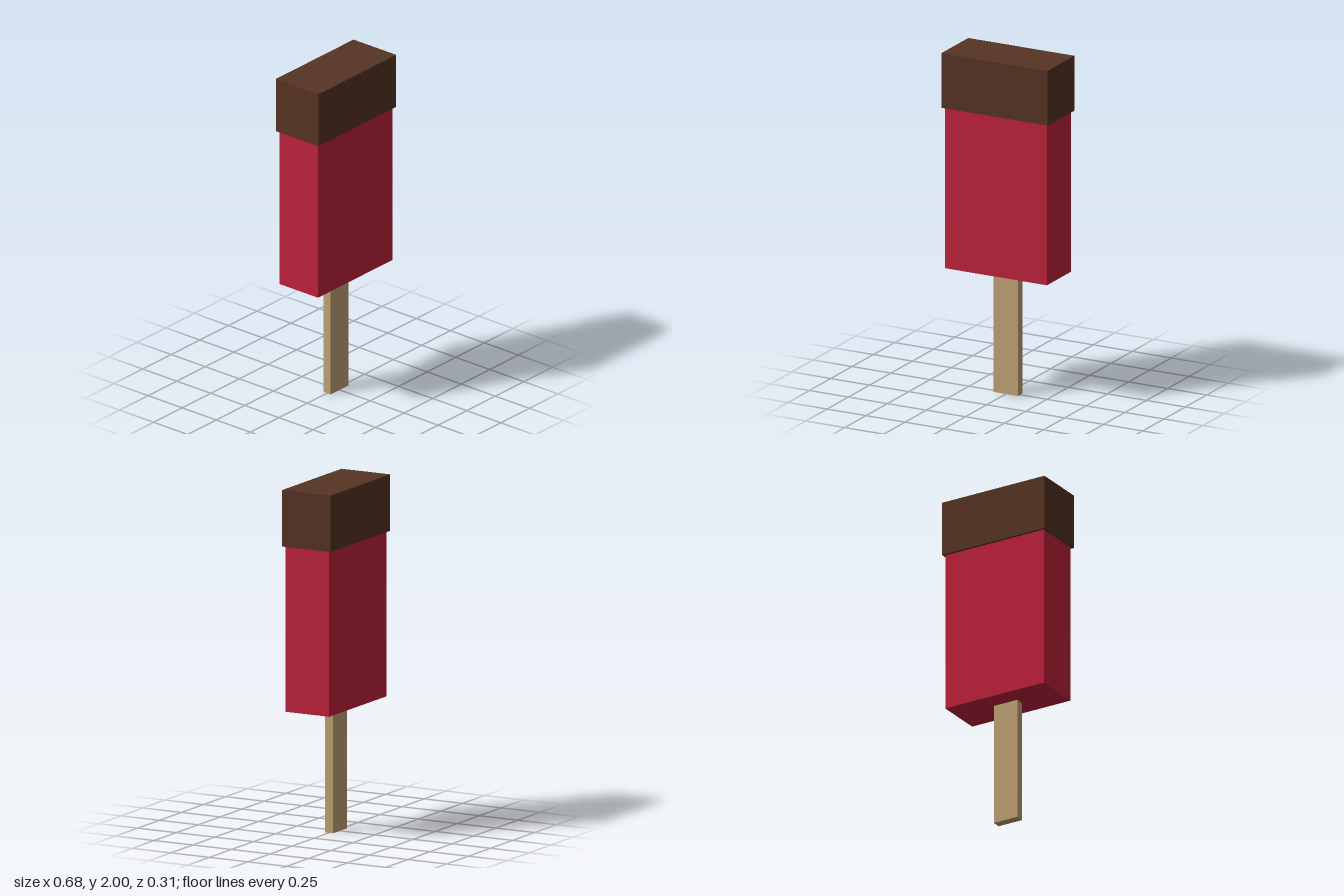
import * as THREE from 'three';

const material = (name, color) => {
  const m = new THREE.MeshStandardMaterial({ color });
  m.name = name;
  return m;
};

export function createModel() {
  const group = new THREE.Group();
  group.name = 'iceLolly';

  // Box standing between two heights, centred on x and z
  const block = (name, width, depth, bottom, top, mat) => {
    const mesh = new THREE.Mesh(new THREE.BoxGeometry(width, top - bottom, depth), mat);
    mesh.name = name;
    mesh.position.y = (bottom + top) / 2;
    group.add(mesh);
  };

  // Wooden stick, running a little way into the ice
  block('stick', 0.156, 0.052, 0, 0.9, material('wood', 0xc2a475));
  // Fruit ice body
  block('iceBody', 0.654, 0.284, 0.726, 1.9, material('redIce', 0xc1223b));
  // Chocolate coating over the top, slightly wider than the ice
  block('chocolateCap', 0.68, 0.314, 1.676, 2, material('chocolate', 0x573423));

  return group;
}
